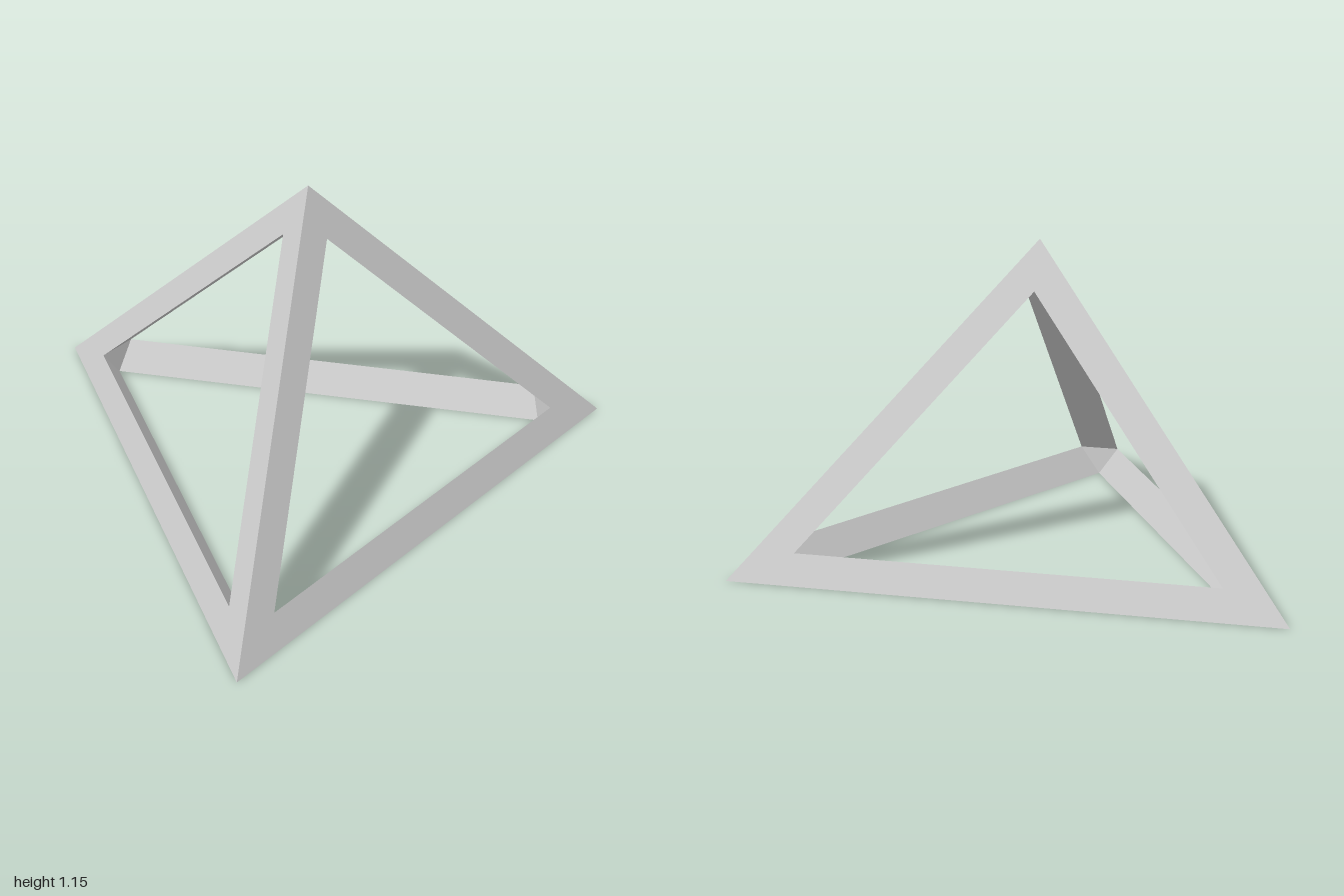
import * as THREE from 'three';

const R = Math.sqrt(3) / 2; // half depth of the base triangle
const CORNERS = [
  new THREE.Vector3(-1, 0, R),
  new THREE.Vector3(1, 0, R),
  new THREE.Vector3(0, 0, -R),
  new THREE.Vector3(0, 1.155, R / 3), // apex
];
const CENTRE = new THREE.Vector3(0, 0.35, R / 3);
const NAMES = ['Right', 'Left', 'Back', 'Apex'];

// Corner of the inset triangular opening of face (v, a, b), next to v
function openingCorner(v, a, b) {
  const [V, A, B] = [v, a, b].map((i) => CORNERS[i]);
  const border = [v, a, b].includes(3) ? 0.117 : 0.12;
  const toA = A.clone().sub(V).normalize();
  const toB = B.clone().sub(V).normalize();
  const sine = Math.sin(toA.angleTo(toB));
  return V.clone().addScaledVector(toA.add(toB), border / sine);
}

// Add a flat convex polygon, wound to face the centre or to face away from it
function addPolygon(out, points, inward) {
  const normal = new THREE.Triangle(points[0], points[1], points[2]).getNormal(new THREE.Vector3());
  const facesCentre = normal.dot(CENTRE.clone().sub(points[0])) > 0;
  const p = facesCentre === inward ? points : [...points].reverse();
  for (let i = 1; i < p.length - 1; i++) {
    for (const q of [p[0], p[i], p[i + 1]]) out.push(q.x, q.y, q.z);
  }
}

function makeMesh(name, positions, material) {
  const geometry = new THREE.BufferGeometry();
  geometry.setAttribute('position', new THREE.Float32BufferAttribute(positions, 3));
  geometry.computeVertexNormals();
  const mesh = new THREE.Mesh(geometry, material);
  mesh.name = name;
  return mesh;
}

export function createModel() {
  const group = new THREE.Group();
  group.name = 'pyramidFrame';
  const material = new THREE.MeshStandardMaterial({ color: 0xcccccc, flatShading: true });

  // Six mitred triangular struts, one along each edge
  for (let i = 0; i < 4; i++) {
    for (let j = i + 1; j < 4; j++) {
      const [a, b] = [0, 1, 2, 3].filter((k) => k !== i && k !== j);
      const [A1, A2] = [openingCorner(i, j, a), openingCorner(j, i, a)];
      const [B1, B2] = [openingCorner(i, j, b), openingCorner(j, i, b)];
      const out = [];
      addPolygon(out, [CORNERS[i], CORNERS[j], A2, A1], false);
      addPolygon(out, [CORNERS[i], CORNERS[j], B2, B1], false);
      addPolygon(out, [A1, A2, B2, B1], true);
      group.add(makeMesh(`strut${NAMES[i]}To${NAMES[j]}`, out, material));
    }
  }

  // Small inner facet where three struts meet at each corner
  for (let i = 0; i < 4; i++) {
    const [a, b, c] = [0, 1, 2, 3].filter((k) => k !== i);
    const out = [];
    addPolygon(out, [openingCorner(i, a, b), openingCorner(i, b, c), openingCorner(i, c, a)], true);
    group.add(makeMesh(`cornerJoint${NAMES[i]}`, out, material));
  }
  return group;
}
